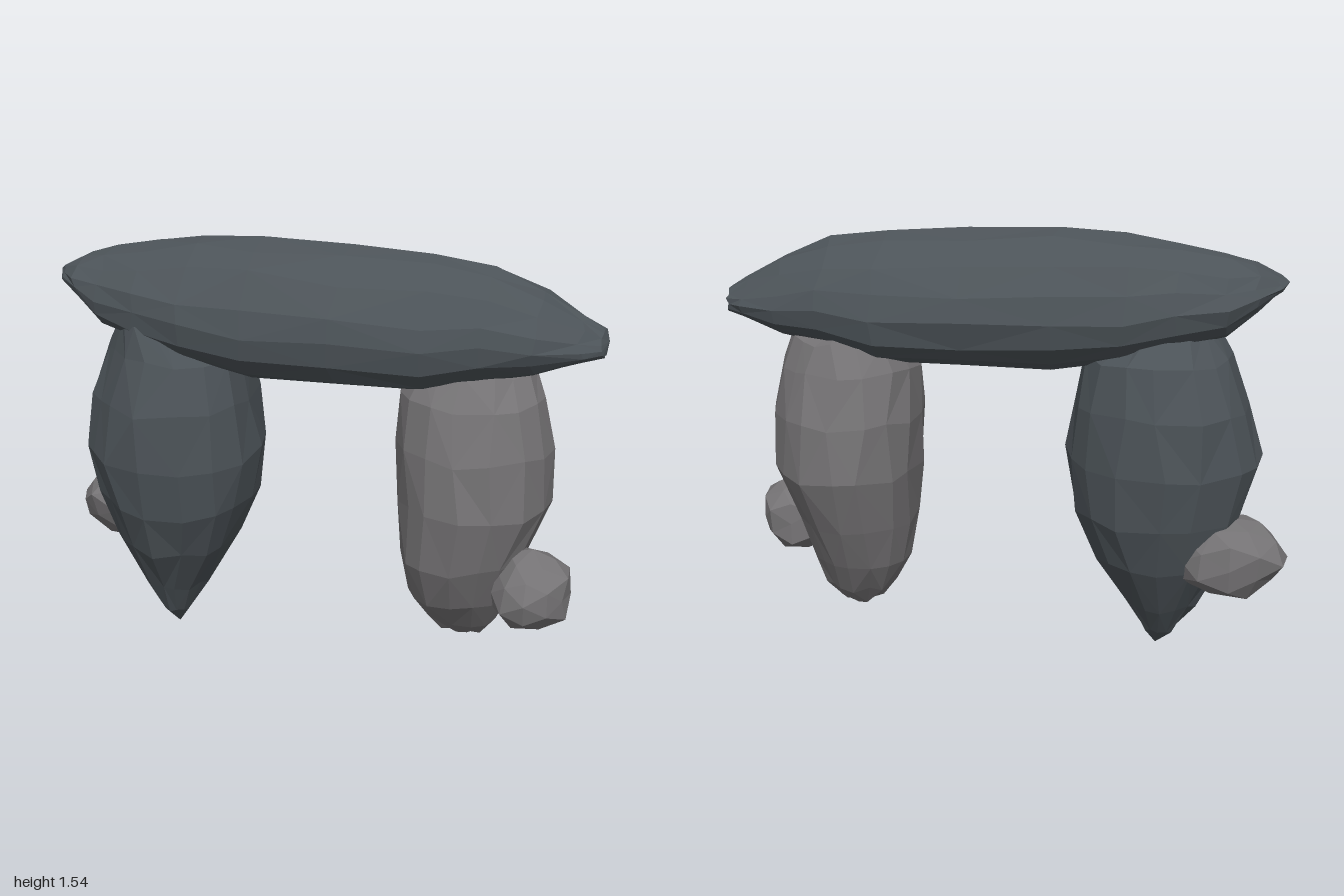
import * as THREE from 'three';

const darkStone = new THREE.MeshStandardMaterial({ color: 0x4c5358 });
darkStone.name = 'dark slate stone';
const greyStone = new THREE.MeshStandardMaterial({ color: 0x757375 });
greyStone.name = 'grey stone';

// Small seeded generator for the chipped surfaces
function seeded(seed) {
  let s = seed;
  return () => (s = (s * 16807) % 2147483647) / 2147483647;
}

// Faceted boulder lofted through rings [t, aMin, aMax, bMin, bMax] along an axis.
// place(t, a, b) turns ring coordinates into x, y, z; waist sets where b is widest;
// upper and lower set how square each half is; cut shaves the side facing cutAngle.
function boulder(name, material, rings, place, options) {
  const { seed, ends, sides = 16, waist = 0.5, upper = 0.92, lower = 0.92, cut = 0, cutAngle = 0 } = options;
  const rand = seeded(seed);
  const points = [], index = [];
  const push = (t, a, b) => points.push(...place(t, a, b));
  for (const [t, a0, a1, b0, b1] of rings) {
    const ca = (a0 + a1) / 2, cb = b0 + waist * (b1 - b0);
    for (let j = 0; j < sides; j++) {
      const angle = ((j + (rand() - 0.5) * 0.35) / sides) * Math.PI * 2;
      const c = Math.cos(angle), s = Math.sin(angle), power = s > 0 ? upper : lower;
      const shave = 1 - cut * Math.max(0, Math.cos(angle - cutAngle)) ** 6;
      const chip = (0.985 + rand() * 0.04) * shave;
      const a = Math.sign(c) * Math.abs(c) ** power * (a1 - a0) / 2 * chip;
      const b = Math.sign(s) * Math.abs(s) ** power * (s > 0 ? b1 - cb : cb - b0) * chip;
      push(t + (rand() - 0.5) * 0.025, ca + a, cb + b);
    }
  }
  for (let i = 0; i < rings.length - 1; i++) {
    for (let j = 0; j < sides; j++) {
      const a = i * sides + j, b = i * sides + (j + 1) % sides;
      const d = a + sides, c = b + sides;
      if ((i + j) % 2) index.push(a, c, b, a, d, c);
      else index.push(a, d, b, b, d, c);
    }
  }
  // Close both ends to a point
  const first = rings.length * sides, top = (rings.length - 1) * sides;
  push(...ends[0]);
  push(...ends[1]);
  for (let j = 0; j < sides; j++) {
    const k = (j + 1) % sides;
    index.push(first, j, k, first + 1, top + k, top + j);
  }
  const geometry = new THREE.BufferGeometry();
  geometry.setAttribute('position', new THREE.Float32BufferAttribute(points, 3));
  geometry.setIndex(index);
  const flat = geometry.toNonIndexed();
  flat.computeVertexNormals();
  const mesh = new THREE.Mesh(flat, material);
  mesh.name = name;
  return mesh;
}

// Small angular stone; matching corners get the same chip so the skin stays closed
function pebble(name, position, radii, seed) {
  const geometry = new THREE.IcosahedronGeometry(1, 1);
  const p = geometry.attributes.position, v = new THREE.Vector3();
  const rand = seeded(seed), chips = new Map();
  for (let i = 0; i < p.count; i++) {
    v.fromBufferAttribute(p, i);
    const key = v.toArray().map((n) => Math.round(n * 100)).join();
    if (!chips.has(key)) chips.set(key, 0.88 + rand() * 0.18);
    v.multiplyScalar(chips.get(key)).multiply(radii);
    p.setXYZ(i, v.x, v.y, v.z);
  }
  geometry.computeVertexNormals();
  const mesh = new THREE.Mesh(geometry, greyStone);
  mesh.name = name;
  mesh.position.copy(position);
  return mesh;
}

export function createModel() {
  const group = new THREE.Group();
  group.name = 'stoneArch';
  const upright = (t, a, b) => [a, t, b];
  const lying = (t, a, b) => [t, b, a];

  // Lintel slab, domed above and flatter below: x, back z, front z, bottom y, top y
  group.add(boulder('lintel', darkStone, [
    [-0.94, -0.07, 0.07, 1.335, 1.39],
    [-0.86, -0.15, 0.14, 1.27, 1.435],
    [-0.76, -0.205, 0.185, 1.19, 1.465],
    [-0.60, -0.26, 0.24, 1.15, 1.495],
    [-0.42, -0.285, 0.285, 1.10, 1.525],
    [-0.18, -0.29, 0.305, 1.06, 1.54],
    [0.12, -0.285, 0.295, 1.06, 1.53],
    [0.42, -0.28, 0.27, 1.065, 1.51],
    [0.62, -0.235, 0.24, 1.12, 1.49],
    [0.78, -0.18, 0.20, 1.15, 1.42],
    [0.92, -0.125, 0.135, 1.20, 1.34],
    [0.98, -0.085, 0.09, 1.22, 1.305],
  ], lying, { seed: 91, waist: 0.42, upper: 1.2, lower: 0.85, ends: [[-0.97, 0, 1.37], [1.0, 0.01, 1.27]] }));

  // Dark pillar tapering to a point: y, x range, z range
  group.add(boulder('rightPillar', darkStone, [
    [0.08, -0.635, -0.505, -0.08, 0.07],
    [0.19, -0.71, -0.445, -0.155, 0.13],
    [0.38, -0.805, -0.32, -0.26, 0.24],
    [0.56, -0.865, -0.245, -0.32, 0.31],
    [0.75, -0.91, -0.22, -0.345, 0.345],
    [0.95, -0.865, -0.245, -0.34, 0.335],
    [1.12, -0.795, -0.28, -0.29, 0.28],
    [1.24, -0.715, -0.46, -0.18, 0.24],
  ], upright, { seed: 4321, cut: 0.17, cutAngle: Math.PI * 0.75, ends: [[0, -0.56, 0], [1.28, -0.60, 0.02]] }));

  // Grey pillar with a blunt foot: y, x range, z range
  group.add(boulder('leftPillar', greyStone, [
    [0.145, 0.46, 0.62, -0.08, 0.04],
    [0.21, 0.405, 0.68, -0.15, 0.10],
    [0.32, 0.35, 0.72, -0.22, 0.20],
    [0.48, 0.325, 0.77, -0.285, 0.275],
    [0.68, 0.305, 0.85, -0.35, 0.30],
    [0.88, 0.295, 0.845, -0.335, 0.285],
    [1.05, 0.305, 0.805, -0.285, 0.24],
    [1.15, 0.36, 0.76, -0.235, 0.17],
  ], upright, { seed: 777, cut: 0.12, cutAngle: -Math.PI / 4, ends: [[0.125, 0.51, -0.02], [1.2, 0.56, -0.03]] }));

  // Loose stones resting against the pillars
  group.add(pebble('leftSideStone', new THREE.Vector3(0.808, 0.405, 0.128), new THREE.Vector3(0.155, 0.148, 0.16), 55));
  group.add(pebble('rightSideStone', new THREE.Vector3(-0.805, 0.432, -0.155), new THREE.Vector3(0.205, 0.152, 0.175), 1234));
  return group;
}
